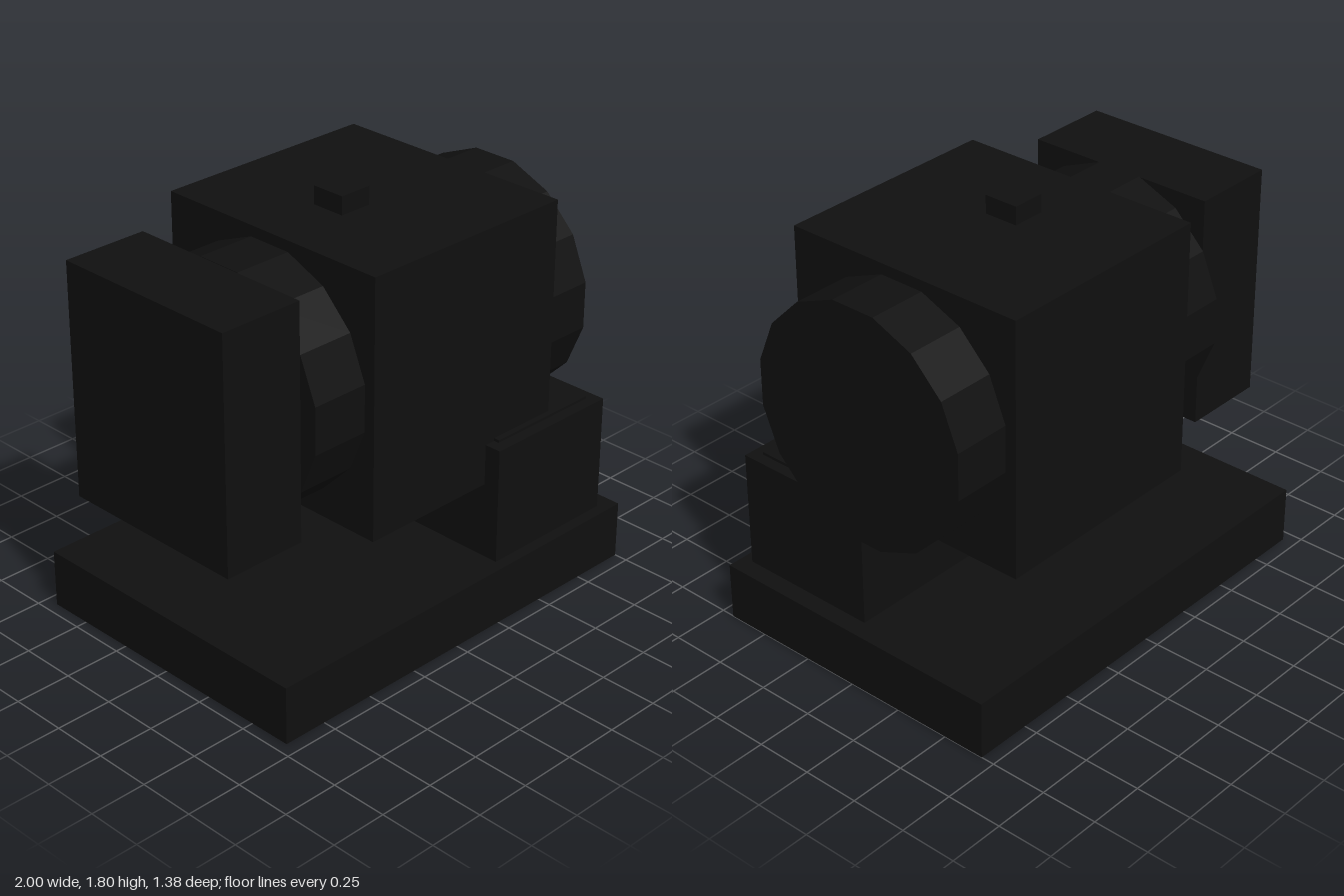
import * as THREE from 'three';

export function createModel() {
  const model = new THREE.Group();
  model.name = 'mountedDevice';
  const black = new THREE.MeshStandardMaterial({ color: 0x101010, flatShading: true });
  black.name = 'matte black';

  const add = (name, geometry, x, y, z) => {
    const mesh = new THREE.Mesh(geometry, black);
    mesh.name = name;
    mesh.position.set(x, y, z);
    model.add(mesh);
  };

  // Box given by its limits on each axis
  const box = (name, [x0, x1], [y0, y1], [z0, z1]) =>
    add(name, new THREE.BoxGeometry(x1 - x0, y1 - y0, z1 - z0),
      (x0 + x1) / 2, (y0 + y1) / 2, (z0 + z1) / 2);

  // Sixteen-sided disc on the x axis, with flats at top, bottom, front and back
  const disc = (name, x0, x1) => {
    const geometry = new THREE.CylinderGeometry(0.525, 0.525, x1 - x0, 16);
    geometry.rotateY(Math.PI / 16).rotateZ(Math.PI / 2);
    add(name, geometry, (x0 + x1) / 2, 1.157, 0);
  };

  // Base and stepped support
  box('base', [-0.95, 1], [0, 0.255], [-0.69, 0.69]);
  box('supportPost', [0.28, 0.92], [0.255, 0.77], [0, 0.64]);
  box('postCap', [0.33, 0.87], [0.77, 0.782], [0.05, 0.59]);
  box('postStem', [0.48, 0.72], [0.782, 0.9], [0.2, 0.44]);

  // Main housing with a button on top
  box('housing', [-0.36, 0.66], [0.59, 1.72], [-0.565, 0.565]);
  box('topButton', [-0.05, 0.1], [1.72, 1.8], [-0.075, 0.08]);

  // Side discs and the block on the right
  disc('leftDisc', 0.66, 0.92);
  disc('rightDisc', -0.62, -0.36);
  box('rightBlock', [-1, -0.62], [0.645, 1.67], [-0.435, 0.435]);

  return model;
}
